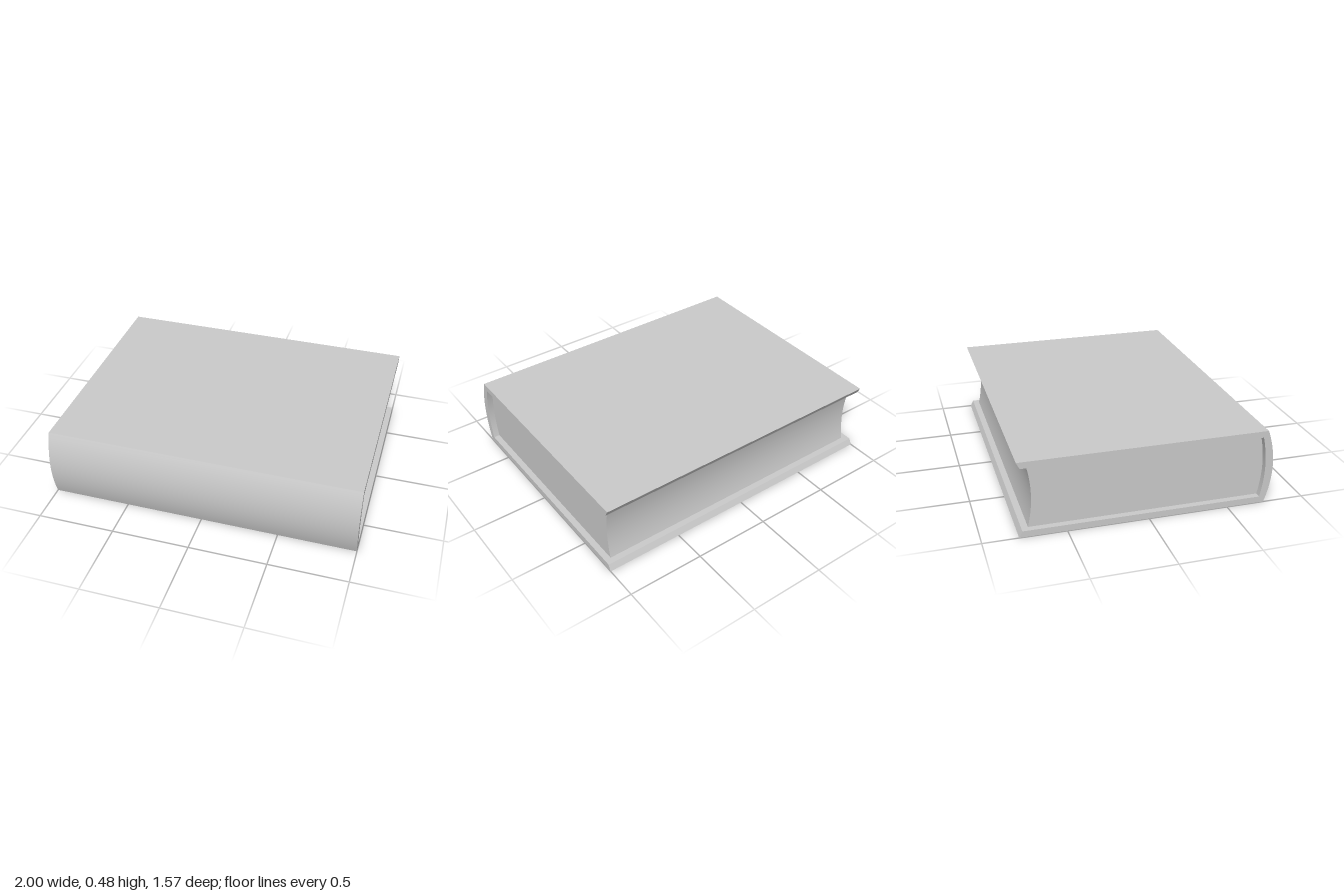
import * as THREE from 'three';
import { toCreasedNormals } from 'three/addons/utils/BufferGeometryUtils.js';

const HEIGHT = 0.48, BOARD = 0.04;
const LOW = BOARD, HIGH = HEIGHT - BOARD, MID = HEIGHT / 2;

// Points of a shallow bow from y0 to y1: z is zEnd at the ends and zMid halfway.
function bow(y0, y1, zEnd, zMid, steps = 16) {
  return Array.from({ length: steps + 1 }, (_, i) => {
    const y = THREE.MathUtils.lerp(y0, y1, i / steps);
    const t = (y - MID) / ((y1 - y0) / 2);
    return new THREE.Vector2(zMid + (zEnd - zMid) * t * t, y);
  });
}

// Extrude a (z, y) profile along x, centred on x = 0.
function extrudeAlongX(name, points, length, material) {
  let geometry = new THREE.ExtrudeGeometry(new THREE.Shape(points), {
    depth: length, bevelEnabled: false,
  });
  geometry.translate(0, 0, -length / 2);
  geometry.rotateY(-Math.PI / 2);
  geometry = toCreasedNormals(geometry, Math.PI / 8);
  const mesh = new THREE.Mesh(geometry, material);
  mesh.name = name;
  return mesh;
}

export function createModel() {
  const group = new THREE.Group();
  group.name = 'book';
  const material = new THREE.MeshStandardMaterial({ color: 0xcccccc });

  // Both boards and the rounded spine form one folded case.
  const p = (z, y) => new THREE.Vector2(z, y);
  const caseProfile = [
    p(-0.785, 0),
    ...bow(0, HEIGHT, 0.74, 0.785),
    p(-0.785, HEIGHT),
    p(-0.765, HIGH),
    ...bow(LOW, HIGH, 0.71, 0.735).reverse(),
    p(-0.765, LOW),
  ];
  group.add(extrudeAlongX('cover', caseProfile, 2, material));

  // Page block: rounded against the spine, hollowed at the fore edge, set in at the ends.
  const pageProfile = [
    ...bow(LOW, HIGH, 0.71, 0.735),
    ...bow(LOW, HIGH, -0.725, -0.7).reverse(),
  ];
  group.add(extrudeAlongX('pages', pageProfile, 1.92, material));

  return group;
}
